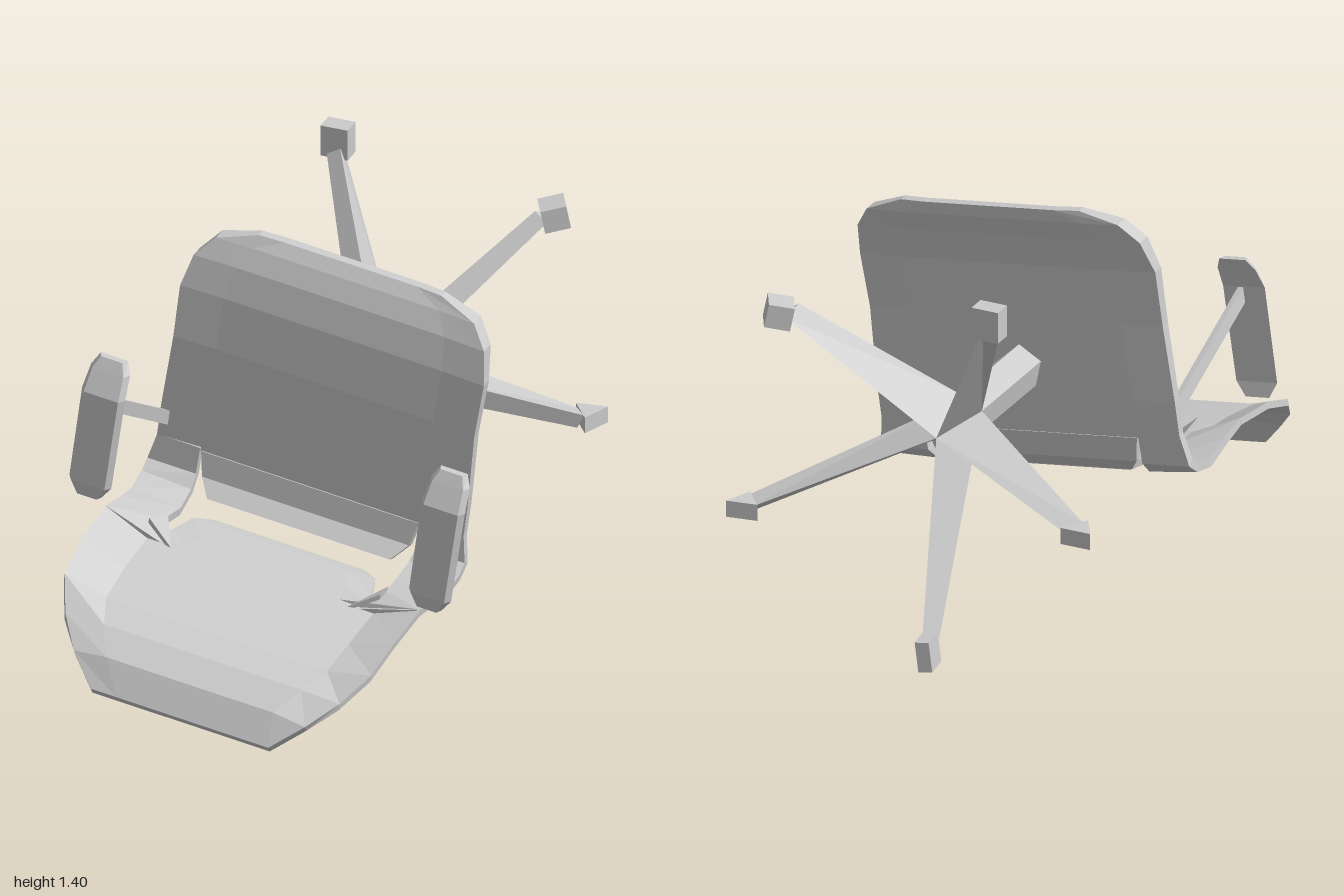
import * as THREE from 'three';

const mat = new THREE.MeshStandardMaterial({ color: 0xcccccc, flatShading: true, side: THREE.DoubleSide });

// Closed solid through a list of equal-length loops of [x, y, z], with strip caps.
function loft(loops) {
  const pos = [];
  const tri = (a, b, c) => pos.push(...a, ...b, ...c);
  const quad = (a, b, c, d) => { tri(a, b, c); tri(a, c, d); };
  const n = loops[0].length;
  for (let r = 0; r < loops.length - 1; r++) {
    const p = loops[r], q = loops[r + 1];
    for (let i = 0; i < n; i++) {
      const j = (i + 1) % n;
      quad(p[i], p[j], q[j], q[i]);
    }
  }
  const first = loops[0], last = loops[loops.length - 1];
  for (let i = 0; i < Math.floor((n - 1) / 2); i++) {
    quad(first[n - 1 - i], first[n - 2 - i], first[i + 1], first[i]);
    quad(last[i], last[i + 1], last[n - 2 - i], last[n - 1 - i]);
  }
  // Turn the faces outward if the enclosed volume is negative.
  let volume = 0;
  const a = new THREE.Vector3(), b = new THREE.Vector3(), c = new THREE.Vector3();
  for (let i = 0; i < pos.length; i += 9) {
    a.fromArray(pos, i); b.fromArray(pos, i + 3); c.fromArray(pos, i + 6);
    volume += a.dot(b.cross(c));
  }
  if (volume < 0) {
    for (let i = 0; i < pos.length; i += 9) {
      for (let k = 0; k < 3; k++) [pos[i + 3 + k], pos[i + 6 + k]] = [pos[i + 6 + k], pos[i + 3 + k]];
    }
  }
  const g = new THREE.BufferGeometry();
  g.setAttribute('position', new THREE.Float32BufferAttribute(pos, 3));
  g.computeVertexNormals();
  return g;
}

// A strip of points and its offset copy, joined into one loop.
const thicken = (pts, dy, dz) => [...pts, ...pts.map(([x, y, z]) => [x, y + dy, z + dz]).reverse()];

function add(parent, name, geometry) {
  const mesh = new THREE.Mesh(geometry, mat);
  mesh.name = name;
  parent.add(mesh);
  return mesh;
}

export function createModel() {
  const model = new THREE.Group();
  model.name = 'tippedOfficeChair';

  // The chair lies on its back, rolled a little about its column.
  const body = new THREE.Group();
  body.name = 'chairBody';
  body.position.y = 0.74;
  body.rotation.z = THREE.MathUtils.degToRad(-8);
  model.add(body);

  // Seat panel: half width, y, z, back offset
  const seatRows = [
    [0.34, 0.62, -0.075, -0.035], [0.48, 0.575, -0.045, -0.06], [0.54, 0.5, -0.015, -0.06],
    [0.565, 0.38, 0.005, -0.045], [0.56, 0.18, 0.01, -0.04], [0.57, -0.1, 0, -0.035],
    [0.57, -0.235, -0.005, -0.03],
  ];
  add(body, 'seat', loft(seatRows.map(([w, y, z, t]) =>
    thicken([[-w, y, z], [-w * 0.72, y, z - 0.008], [w * 0.72, y, z - 0.008], [w, y, z]], 0, t))));

  // Curled lip at the rear of the seat
  add(body, 'seatLip', loft([[0.405, -0.23, -0.005], [0.385, -0.32, 0.005], [0.34, -0.37, 0.05]].map(
    ([w, y, z]) => thicken([[-w, y, z], [w, y, z]], -0.01, -0.03))));

  // Backrest: half width, z, centre y, edge y
  const backRows = [
    [0.28, 0.115, -0.4, -0.4], [0.34, 0.17, -0.385, -0.385], [0.37, 0.27, -0.385, -0.39],
    [0.4, 0.36, -0.39, -0.385], [0.585, 0.37, -0.39, -0.32], [0.582, 0.58, -0.41, -0.345],
    [0.57, 0.74, -0.44, -0.4], [0.51, 0.85, -0.475, -0.48], [0.43, 0.94, -0.54, -0.555],
    [0.33, 0.995, -0.645, -0.645],
  ];
  add(body, 'backrest', loft(backRows.map(([w, z, y, e]) =>
    thicken([[-w, e, z], [-w * 0.72, y, z], [w * 0.72, y, z], [w, e, z]], -0.025, z > 0.9 ? -0.02 : 0))));

  for (const [s, side] of [[1, 'left'], [-1, 'right']]) {
    // Strap joining seat and backrest: inner x, outer x, inner y, outer y, z, offset y, offset z
    const strapRows = [
      [0.41, 0.57, -0.22, -0.22, -0.005, 0, -0.03], [0.41, 0.59, -0.32, -0.32, 0, -0.015, -0.03],
      [0.405, 0.59, -0.36, -0.35, 0.04, -0.025, -0.02], [0.4, 0.585, -0.385, -0.37, 0.13, -0.03, 0],
      [0.41, 0.58, -0.37, -0.345, 0.25, -0.03, 0], [0.34, 0.585, -0.4, -0.32, 0.375, -0.025, 0],
    ];
    add(body, side + 'Strap', loft(strapRows.map(([i, o, yi, yo, z, dy, dz]) =>
      thicken([[s * i, yi, z], [s * o, yo, z]], dy, dz))));

    // Notch flap where the strap meets the backrest
    add(body, side + 'NotchFlap', loft([
      thicken([[s * 0.41, -0.36, 0.23], [s * 0.43, -0.32, 0.36]], -0.02, 0),
      thicken([[s * 0.335, -0.39, 0.37], [s * 0.33, -0.39, 0.385]], -0.015, 0),
    ]));

    // Armrest pad: y, half width, z
    const padRows = [
      [-0.262, 0.045, 0.45], [-0.21, 0.078, 0.46], [0.14, 0.08, 0.46], [0.22, 0.072, 0.425], [0.262, 0.05, 0.405],
    ];
    add(body, side + 'ArmPad', loft(padRows.map(([y, w, z]) => {
      const x = s * 0.632;
      return [[x - w * 0.8, y, z], [x + w * 0.8, y, z], [x + w, y, z - 0.025], [x - w, y, z - 0.025]];
    })));

    // Slanted armrest support
    add(body, side + 'ArmSupport', loft([[0.62, 0.115, 0.445], [0.545, -0.15, -0.015]].map(([x, y, z]) => [
      [s * x - 0.01, y - 0.028, z], [s * x + 0.01, y - 0.028, z],
      [s * x + 0.01, y + 0.028, z], [s * x - 0.01, y + 0.028, z],
    ])));
  }

  // Star base around the column axis
  const base = new THREE.Group();
  base.name = 'starBase';
  base.position.y = 0.74;
  model.add(base);
  const polar = (deg, r, z) => {
    const a = THREE.MathUtils.degToRad(deg);
    return [r * Math.cos(a), r * Math.sin(a), z];
  };
  const legAngles = [47, 119, 191, 263, 335];

  // Five-sided column
  add(base, 'column', loft([-0.02, -0.495].map((z) => legAngles.map((a) => polar(a + 36, 0.081, z)))));

  // Tapered legs with a ridge along the underside
  for (const a of legAngles) {
    add(base, 'leg', loft([
      [polar(a - 36, 0.081, -0.49), polar(a + 36, 0.081, -0.49), [0, 0, -0.69]],
      [polar(a - 2.5, 0.655, -0.885), polar(a + 2.5, 0.655, -0.885), polar(a, 0.64, -0.955)],
    ]));
  }

  // Casters, each swivelled its own way: position, geometry, rotation
  const wedge = () => new THREE.CylinderGeometry(0.065, 0.065, 0.06, 3);
  const casters = [
    [[0.475, 0.475, -0.934], new THREE.BoxGeometry(0.09, 0.085, 0.1), [0, 0.5, 0.2]],
    [[-0.32, 0.6, -0.93], new THREE.BoxGeometry(0.1, 0.115, 0.07), [0, 0, 0]],
    [[-0.665, -0.125, -0.935], wedge(), [0, 0, 0]],
    [[-0.088, -0.681, -0.93], new THREE.BoxGeometry(0.05, 0.11, 0.1), [0, 0.15, -0.12]],
    [[0.605, -0.28, -0.935], wedge(), [0, 0.15, 0]],
  ];
  for (const [p, geometry, r] of casters) {
    const caster = add(base, 'caster', geometry);
    caster.position.set(...p);
    caster.rotation.set(...r);
  }

  return model;
}
